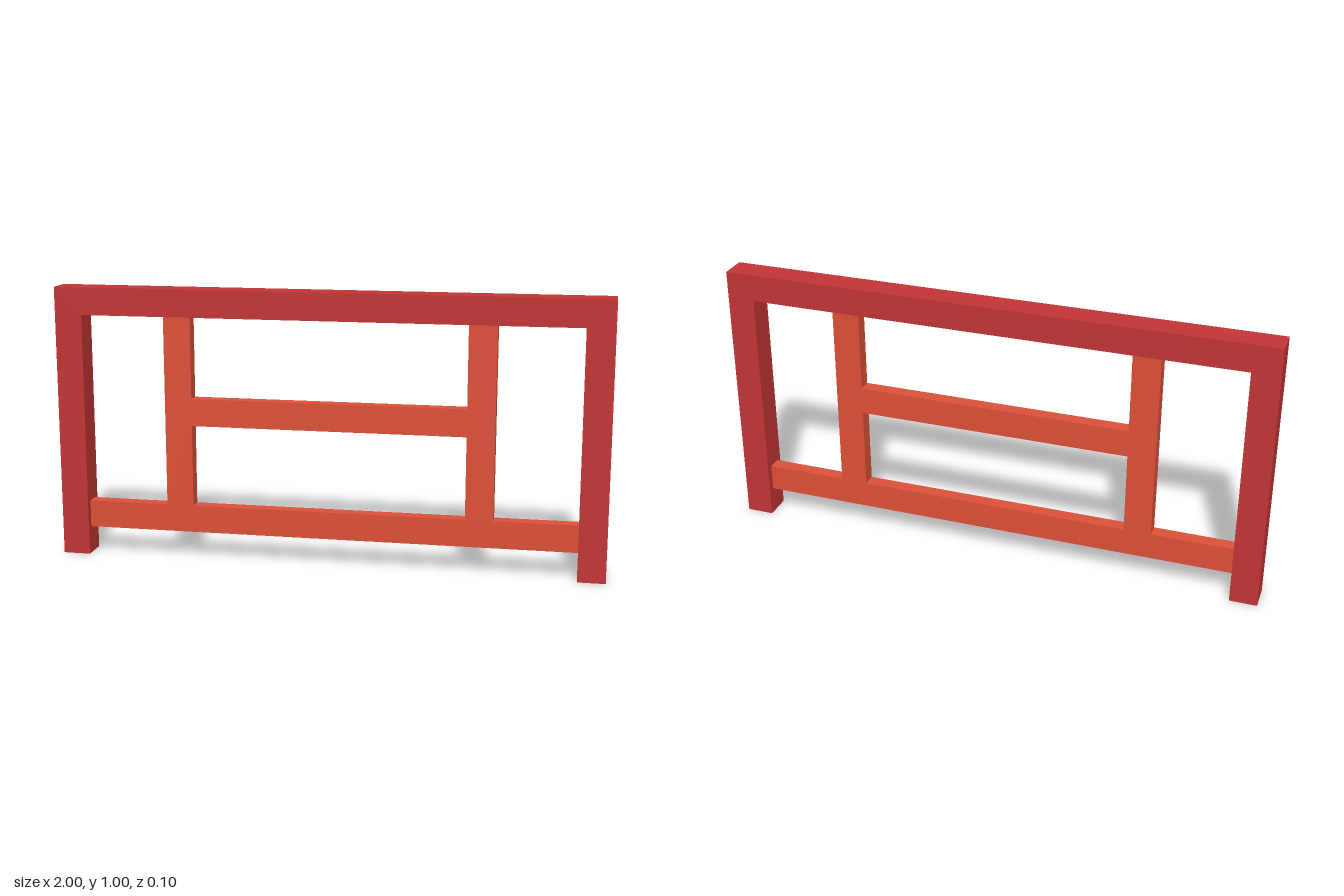
import * as THREE from 'three';

// Closed outline from corner points
const outline = (points, Type = THREE.Shape) =>
  new Type(points.map(([x, y]) => new THREE.Vector2(x, y)));

const rect = (x0, y0, x1, y1) =>
  outline([[x0, y0], [x1, y0], [x1, y1], [x0, y1]], THREE.Path);

// Flat panel of the given depth, centred on z = 0
function panel(name, shape, depth, color) {
  const geometry = new THREE.ExtrudeGeometry(shape, { depth, bevelEnabled: false });
  geometry.translate(0, 0, -depth / 2);
  const mesh = new THREE.Mesh(geometry, new THREE.MeshStandardMaterial({ color }));
  mesh.name = name;
  return mesh;
}

export function createModel() {
  const model = new THREE.Group();
  model.name = 'railingPanel';

  // Outer frame: two posts joined by a top beam
  const frame = outline([
    [-1, 0], [-0.9, 0], [-0.9, 0.9], [0.9, 0.9],
    [0.9, 0], [1, 0], [1, 1], [-1, 1],
  ]);
  model.add(panel('outerFrame', frame, 0.1, 0xc23434));

  // Inner lattice: bottom rail, two uprights and a middle rail
  const lattice = outline([
    [-0.9, 0.1], [0.9, 0.1], [0.9, 0.2], [0.6, 0.2], [0.6, 0.9], [0.5, 0.9],
    [0.5, 0.6], [-0.5, 0.6], [-0.5, 0.9], [-0.6, 0.9], [-0.6, 0.2], [-0.9, 0.2],
  ]);
  lattice.holes.push(rect(-0.5, 0.2, 0.5, 0.5));
  model.add(panel('innerLattice', lattice, 0.05, 0xdc5038));

  return model;
}
